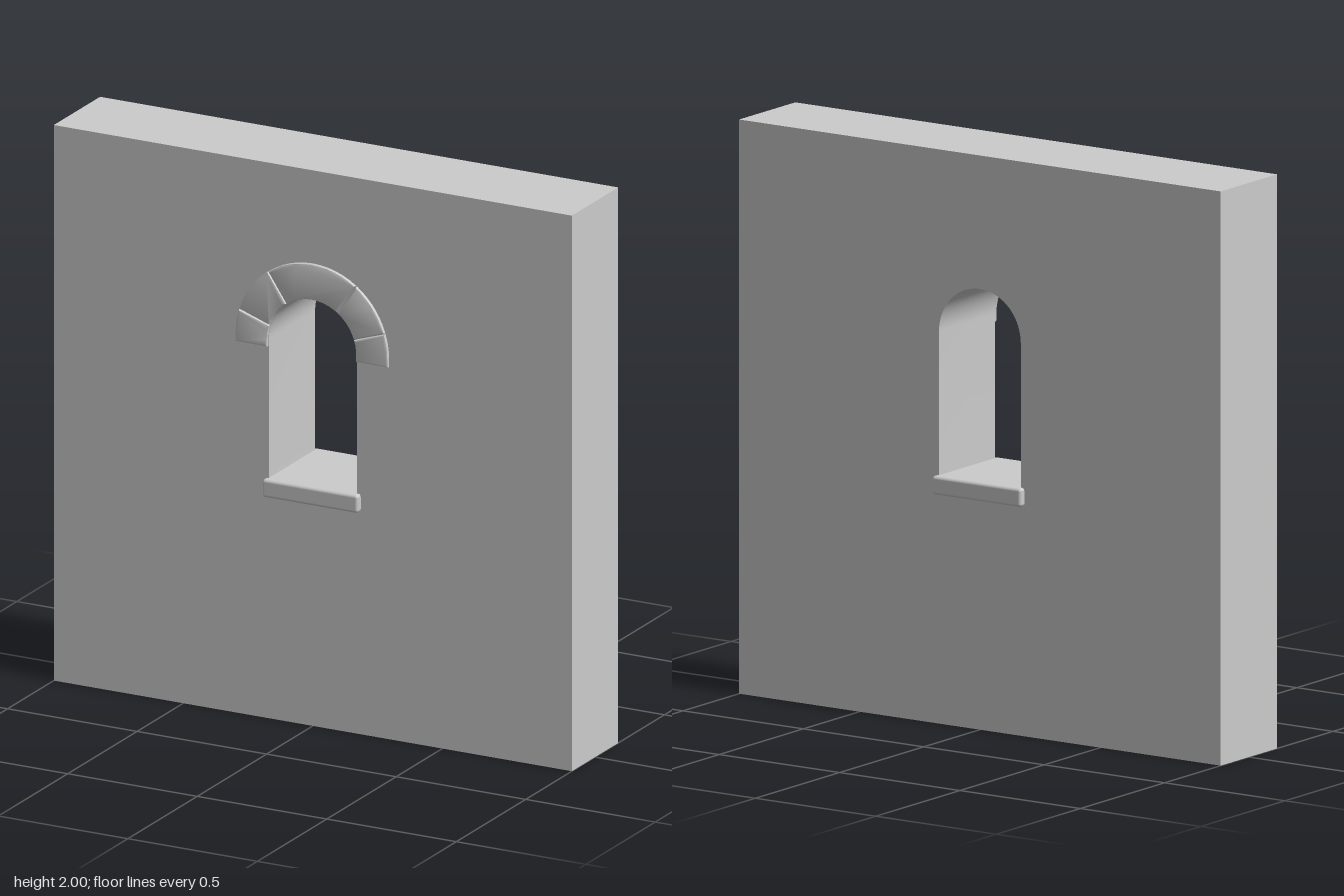
import * as THREE from 'three';
import { toCreasedNormals } from 'three/addons/utils/BufferGeometryUtils.js';
import { RoundedBoxGeometry } from 'three/addons/geometries/RoundedBoxGeometry.js';

const WALL_HALF_DEPTH = 0.167;
const SPRING_Y = 1.365; // height where the arch begins
const OPENING_R = 0.17;
const SILL_TOP = 0.865;

export function createModel() {
  const group = new THREE.Group();
  const material = new THREE.MeshStandardMaterial({ color: 0xcccccc });

  function add(name, geometry) {
    const mesh = new THREE.Mesh(geometry, material);
    mesh.name = name;
    group.add(mesh);
    return mesh;
  }

  // Wall slab with a round-headed opening
  const wallShape = new THREE.Shape();
  wallShape.moveTo(-1, 0).lineTo(1, 0).lineTo(1, 2).lineTo(-1, 2).closePath();
  const opening = new THREE.Path();
  opening.moveTo(-OPENING_R, SILL_TOP - 0.02);
  opening.lineTo(OPENING_R, SILL_TOP - 0.02);
  opening.lineTo(OPENING_R, SPRING_Y);
  opening.absarc(0, SPRING_Y, OPENING_R, 0, Math.PI, false);
  opening.closePath();
  wallShape.holes.push(opening);
  const wall = new THREE.ExtrudeGeometry(wallShape, {
    depth: WALL_HALF_DEPTH * 2, bevelEnabled: false, curveSegments: 20,
  });
  wall.translate(0, 0, -WALL_HALF_DEPTH);
  add('wall', toCreasedNormals(wall, Math.PI / 6));

  // Sill running through the wall and projecting on both faces
  const sill = add('sill', new RoundedBoxGeometry(0.37, 0.065, 0.38, 2, 0.011));
  sill.position.y = SILL_TOP - 0.0325;

  // Arch stones on the front face
  const inner = OPENING_R + 0.001;
  const outerX = 0.295, outerY = 0.3, footY = 1.34;
  const bevel = 0.006, gap = THREE.MathUtils.degToRad(0.3);

  function archStone(name, fromDeg, toDeg) {
    const a = THREE.MathUtils.degToRad(fromDeg) + (fromDeg > 0 ? gap : 0);
    const b = THREE.MathUtils.degToRad(toDeg) - (toDeg < 180 ? gap : 0);
    const steps = Math.ceil((toDeg - fromDeg) / 6);
    const points = [];
    const arc = (rx, ry, start, end) => {
      for (let i = 0; i <= steps; i++) {
        const t = start + (end - start) * i / steps;
        points.push(new THREE.Vector2(rx * Math.cos(t), SPRING_Y + ry * Math.sin(t)));
      }
    };
    // The end stones drop straight below the springing line
    if (fromDeg === 0) points.push(new THREE.Vector2(inner, footY), new THREE.Vector2(outerX, footY));
    arc(outerX, outerY, a, b);
    if (toDeg === 180) points.push(new THREE.Vector2(-outerX, footY), new THREE.Vector2(-inner, footY));
    arc(inner, inner, b, a);
    const geometry = new THREE.ExtrudeGeometry(new THREE.Shape(points), {
      depth: 0.016, bevelEnabled: true, bevelSize: bevel, bevelThickness: bevel,
      bevelOffset: -bevel, bevelSegments: 2,
    });
    geometry.translate(0, 0, 0.179 - 0.016 - bevel);
    add(name, toCreasedNormals(geometry, Math.PI / 6));
  }

  archStone('leftFootStone', 0, 18);
  archStone('leftArchStone', 18, 55);
  archStone('keystone', 55, 125);
  archStone('rightArchStone', 125, 162);
  archStone('rightFootStone', 162, 180);

  return group;
}
